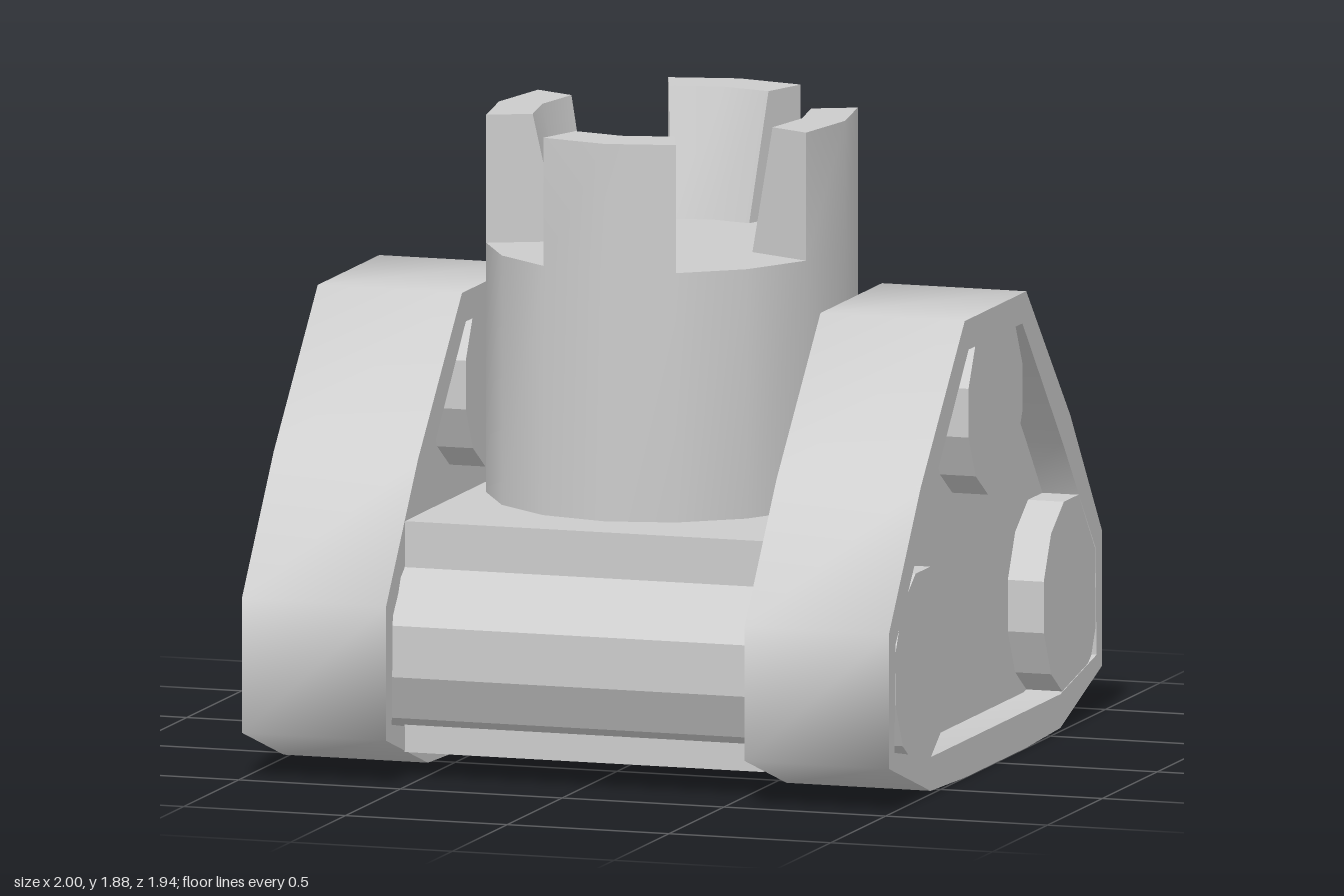
import * as THREE from 'three';
import { mergeGeometries, toCreasedNormals } from 'three/addons/utils/BufferGeometryUtils.js';

const smooth = new THREE.MeshStandardMaterial({ color: 0xcccccc });
const faceted = new THREE.MeshStandardMaterial({ color: 0xcccccc, flatShading: true });

// Half profiles (z, y), from the bottom round to the top; mirrored in z
const OUTER = [[0.28, 0.005], [0.59, 0.015], [0.97, 0.14], [0.97, 0.54], [0.68, 0.93], [0.28, 1.36]];
const INNER = [[0.59, 0.115], [0.92, 0.18], [0.91, 0.5], [0.61, 0.86], [0.245, 1.27]];

function mirrored(half) {
  const other = half.map(([z, y]) => [-z, y]).reverse();
  return [...half, ...other].map(([z, y]) => new THREE.Vector2(z, y));
}

function add(group, name, geometry, material) {
  const mesh = new THREE.Mesh(geometry, material);
  mesh.name = name;
  group.add(mesh);
  return mesh;
}

// Extrudes a side profile across x from x0 to x1
function extrudeAcross(shape, x0, x1) {
  const g = new THREE.ExtrudeGeometry(shape, { depth: x1 - x0, bevelEnabled: false });
  return g.rotateY(Math.PI / 2).translate(x0, 0, 0);
}

// Twelve-sided roller lying along x, with flats facing up and forward
function roller(length, rz, ry) {
  const g = new THREE.CylinderGeometry(1, 1, length, 12, 1, false, Math.PI / 12);
  g.rotateZ(Math.PI / 2);
  const k = Math.cos(Math.PI / 12);
  return g.scale(1, ry / k, rz / k);
}

// One battlement: a three-point arc whose inner wall leans outward
function battlement(angle, y0, y1) {
  const pos = [];
  const p = (i, s, y) => {
    const a = angle + (i - 1) * Math.PI / 8;
    return [Math.sin(a) * s, y, Math.cos(a) * s];
  };
  const quad = (a, b, c, d) => pos.push(...a, ...b, ...c, ...a, ...c, ...d);
  for (let i = 0; i < 2; i++) {
    const j = i + 1;
    quad(p(i, 1, y0), p(j, 1, y0), p(j, 1, y1), p(i, 1, y1));
    quad(p(j, 0.6, y0), p(i, 0.6, y0), p(i, 0.75, y1), p(j, 0.75, y1));
    quad(p(i, 1, y1), p(j, 1, y1), p(j, 0.75, y1), p(i, 0.75, y1));
  }
  quad(p(0, 0.6, y0), p(0, 1, y0), p(0, 1, y1), p(0, 0.75, y1));
  quad(p(2, 1, y0), p(2, 0.6, y0), p(2, 0.75, y1), p(2, 1, y1));
  const g = new THREE.BufferGeometry();
  g.setAttribute('position', new THREE.Float32BufferAttribute(pos, 3));
  return g;
}

export function createModel() {
  const model = new THREE.Group();
  model.name = 'trackedTower';

  // Central hull
  add(model, 'hull', new THREE.BoxGeometry(1.11, 0.685, 1.6).translate(0, 0.4225, 0), faceted);

  // Front and back rollers run the full width
  add(model, 'frontRoller', roller(1.996, 0.25, 0.285), faceted).position.set(0, 0.395, 0.655);
  add(model, 'backRoller', roller(1.996, 0.25, 0.285), faceted).position.set(0, 0.395, -0.695);

  // Track belts, each with a recessed plate and an upper wheel
  const belt = new THREE.Shape(mirrored(OUTER));
  belt.holes.push(new THREE.Path(mirrored(INNER)));
  const plate = new THREE.Shape(mirrored(INNER));
  for (const side of [1, -1]) {
    const track = new THREE.Group();
    track.name = side > 0 ? 'leftTrack' : 'rightTrack';
    const mid = side * 0.777;
    add(track, 'belt', toCreasedNormals(extrudeAcross(belt, mid - 0.223, mid + 0.223), 1.3), smooth);
    add(track, 'sidePlate', extrudeAcross(plate, mid - 0.11, mid + 0.11), faceted);
    add(track, 'upperWheel', roller(0.442, 0.245, 0.27), faceted).position.set(mid, 1.08, -0.005);
    model.add(track);
  }

  // Oval tower with four battlements
  const pieces = [new THREE.CylinderGeometry(1, 1, 0.76, 16).translate(0, 1.125, 0).toNonIndexed()];
  pieces[0].deleteAttribute('normal');
  pieces[0].deleteAttribute('uv');
  for (let i = 0; i < 4; i++) pieces.push(battlement(i * Math.PI / 2, 1.505, 1.885));
  const tower = mergeGeometries(pieces).scale(0.535, 1, 0.615);
  add(model, 'tower', toCreasedNormals(tower, 0.6), smooth);

  return model;
}
